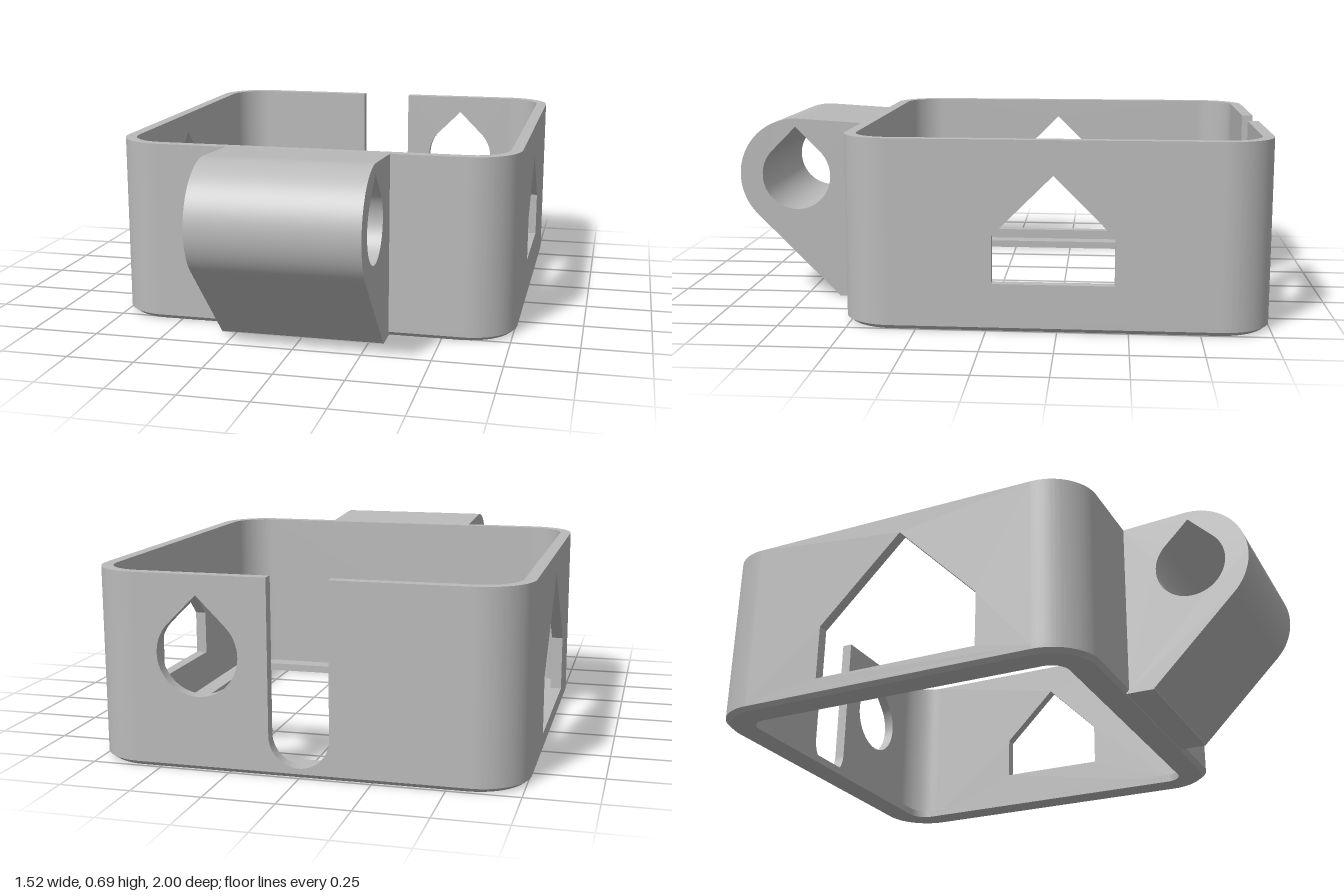
import * as THREE from 'three';
import { toCreasedNormals } from 'three/addons/utils/BufferGeometryUtils.js';

const HX = 0.76, ZB = -1, ZF = 0.525, ZC = (ZB + ZF) / 2; // frame outline
const R = 0.18, T = 0.042, BASE = 0.03, TOP = 0.68;       // corner radius, wall, heights
const PI = Math.PI;

// Rounded rectangle centred on the frame, drawn in x / -z
function roundedRect(Path, hx, hy, r) {
  const p = new Path();
  p.absarc(hx - r, hy - r, r, 0, PI / 2);
  p.absarc(-hx + r, hy - r, r, PI / 2, PI);
  p.absarc(-hx + r, -hy + r, r, PI, PI * 1.5);
  p.absarc(hx - r, -hy + r, r, PI * 1.5, PI * 2);
  p.closePath();
  return p;
}

function polygon(Path, pts) {
  return new Path(pts.map(([x, y]) => new THREE.Vector2(x, y)));
}

// Round hole with a pointed 45 degree roof
function teardrop(x, y, r) {
  const p = new THREE.Path();
  p.absarc(x, y, r, PI * 0.75, PI * 2.25);
  p.lineTo(x, y + r * Math.SQRT2);
  p.closePath();
  return p;
}

// House shaped window with a 45 degree roof
function houseWindow(x, half, bottom, eaves) {
  return polygon(THREE.Path, [[x - half, bottom], [x + half, bottom], [x + half, eaves],
    [x, eaves + half], [x - half, eaves]]);
}

function extrude(shape, depth, steps = 1) {
  return new THREE.ExtrudeGeometry(shape, { depth, steps, bevelEnabled: false, curveSegments: 20 });
}

export function createModel() {
  const group = new THREE.Group();
  const grey = new THREE.MeshStandardMaterial({ color: 0xbababa });
  grey.name = 'grey plastic';
  const add = (name, geo) => {
    const mesh = new THREE.Mesh(toCreasedNormals(geo, 0.5), grey);
    mesh.name = name;
    group.add(mesh);
    return mesh;
  };

  // Bottom ledge ring, with its outer lower edge chamfered
  const hz = (ZF - ZB) / 2;
  const ring = roundedRect(THREE.Shape, HX, hz, R);
  ring.holes.push(roundedRect(THREE.Path, 0.648, 0.648, 0.07));
  const ledge = extrude(ring, BASE, 2);
  const pos = ledge.attributes.position;
  for (let i = 0; i < pos.count; i++) {
    const x = pos.getX(i), y = pos.getY(i);
    const outer = Math.abs(x) > 0.66 || Math.abs(y) > 0.66 || Math.hypot(x, y) > 0.94;
    if (outer && pos.getZ(i) < 0.001) pos.setXY(i, x * 0.98, y * 0.98);
  }
  ledge.rotateX(-PI / 2).translate(0, 0, ZC);
  add('bottomLedge', ledge);

  // Corner walls
  const cx = HX - R, cz = hz - R;
  for (let i = 0; i < 4; i++) {
    const s = new THREE.Shape();
    s.absarc(0, 0, R, i * PI / 2, (i + 1) * PI / 2);
    s.absarc(0, 0, R - T, (i + 1) * PI / 2, i * PI / 2, true);
    s.closePath();
    const sx = i === 0 || i === 3 ? 1 : -1, sz = i < 2 ? -1 : 1;
    const geo = extrude(s, TOP - BASE);
    geo.rotateX(-PI / 2).translate(sx * cx, BASE, ZC + sz * cz);
    add('cornerWall', geo);
  }

  // Front wall
  const rect = (a, b) => polygon(THREE.Shape, [[a, BASE], [b, BASE], [b, TOP], [a, TOP]]);
  add('frontWall', extrude(rect(-cx, cx), T)).position.z = ZF - T;

  // Back wall with an open round-ended slot and a teardrop hole
  const sw = 0.106, sy = 0.035 + sw;
  const back = new THREE.Shape();
  back.moveTo(-cx, BASE);
  back.lineTo(cx, BASE);
  back.lineTo(cx, TOP);
  back.lineTo(sw, TOP);
  back.lineTo(sw, sy);
  back.absarc(0, sy, sw, 0, -PI, true);
  back.lineTo(-sw, TOP);
  back.lineTo(-cx, TOP);
  back.closePath();
  back.holes.push(teardrop(0.355, 0.405, 0.145));
  add('backWall', extrude(back, T)).position.z = ZB;

  // Side walls, each with its own window (drawn in -z / y)
  const sideWall = (name, window, x) => {
    const s = rect(-ZC - cz, -ZC + cz);
    s.holes.push(window);
    add(name, extrude(s, T).rotateY(PI / 2)).position.x = x;
  };
  sideWall('leftWall', houseWindow(0.235, 0.215, 0.172, 0.342), HX - T);
  sideWall('rightWall', houseWindow(0.19, 0.324, 0.07, 0.28), -HX);

  // Hinge lug on the front with a teardrop bore
  const lug = new THREE.Shape();
  lug.moveTo(-0.515, 0);
  lug.lineTo(-0.515, TOP);
  lug.absarc(-0.78, 0.475, 0.22, PI * 0.48, PI * 1.25);
  lug.lineTo(-0.62, 0.003);
  lug.lineTo(-0.62, 0);
  lug.closePath();
  lug.holes.push(teardrop(-0.78, 0.475, 0.133));
  add('hingeLug', extrude(lug, 0.61).rotateY(PI / 2)).position.x = -0.305;

  return group;
}
